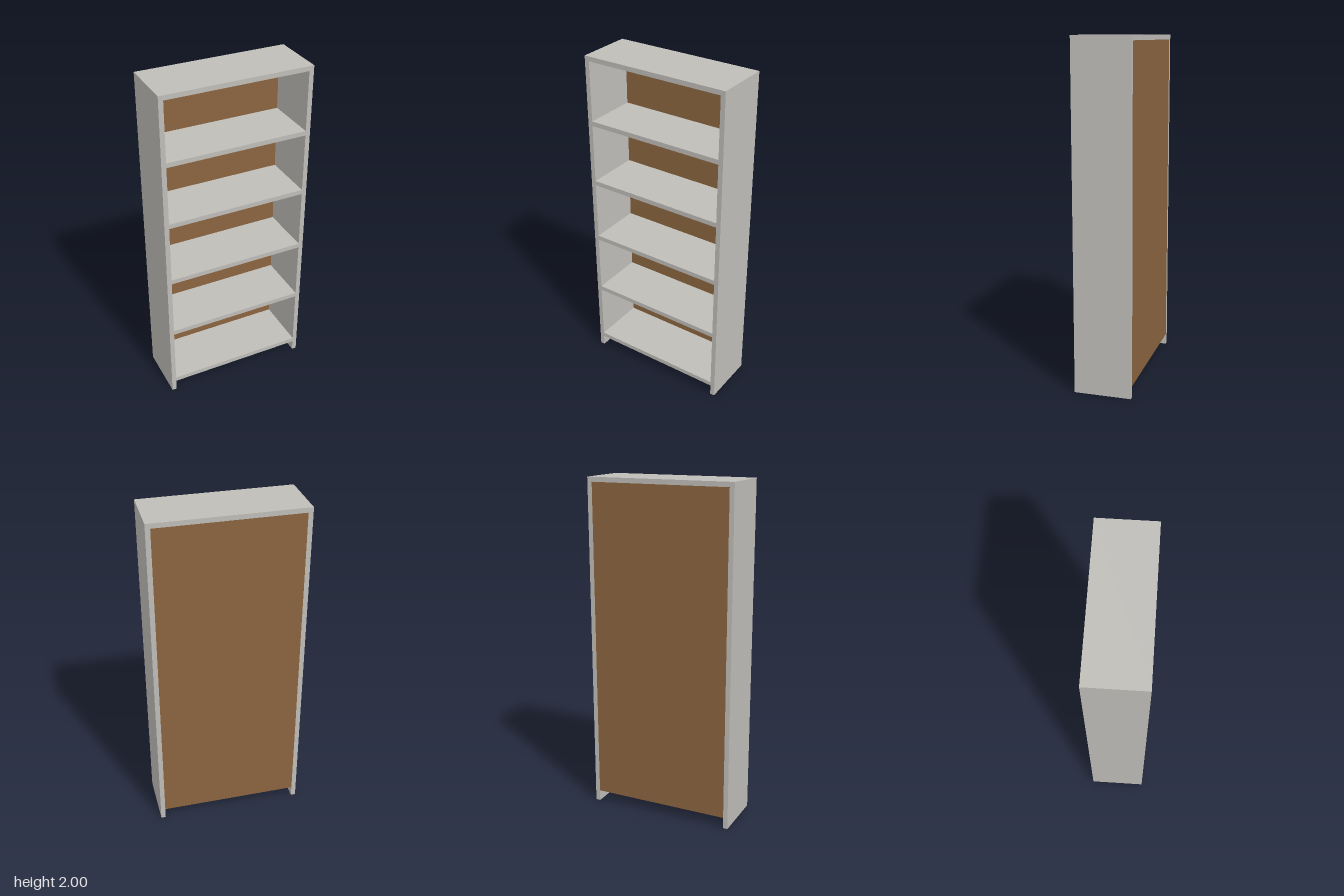
import * as THREE from 'three';

export function createModel() {
  const model = new THREE.Group();
  model.name = 'bookcase';

  const greyPaint = new THREE.MeshStandardMaterial({ color: 0xbfbdb8 });
  greyPaint.name = 'grey paint';
  const brownBoard = new THREE.MeshStandardMaterial({ color: 0x8b6540 });
  brownBoard.name = 'brown board';

  const width = 0.889, height = 2, depth = 0.333;
  const board = 0.0278; // thickness of sides and shelves
  const backThickness = 0.006;
  const plinth = 0.0667; // open gap under the lowest shelf
  const inner = width - 2 * board;

  function addBoard(name, size, position, material) {
    const mesh = new THREE.Mesh(new THREE.BoxGeometry(...size), material);
    mesh.name = name;
    mesh.position.set(...position);
    model.add(mesh);
  }

  // Upright sides, reaching the floor
  for (const [name, s] of [['leftSide', 1], ['rightSide', -1]]) {
    addBoard(name, [board, height, depth], [s * (width - board) / 2, height / 2, 0], greyPaint);
  }

  // Top board at full depth
  addBoard('top', [inner, board, depth], [0, height - board / 2, 0], greyPaint);

  // Five evenly spaced shelves, stopping at the back panel
  const spacing = (height - board - plinth) / 5;
  for (let i = 0; i < 5; i++) {
    addBoard(`shelf${i + 1}`, [inner, board, depth - backThickness],
      [0, plinth + i * spacing + board / 2, backThickness / 2], greyPaint);
  }

  // Back panel, set flush between the sides
  const backHeight = height - board - plinth;
  addBoard('backPanel', [inner, backHeight, backThickness],
    [0, plinth + backHeight / 2, (backThickness - depth) / 2], brownBoard);

  return model;
}
